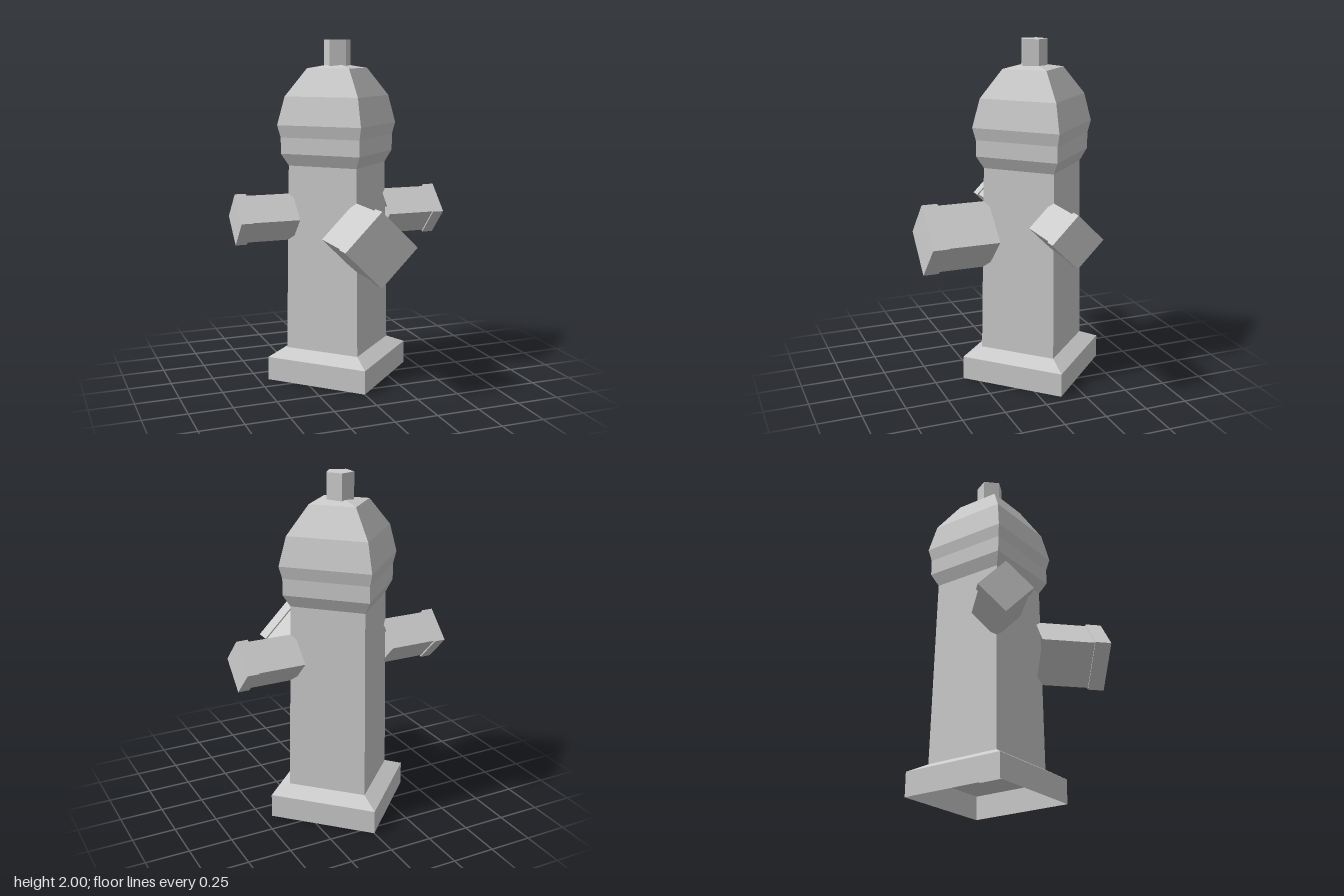
import * as THREE from 'three';

const AXIS_Z = -0.117; // the barrel stands behind the centre, the big outlet reaches forward

const grey = new THREE.MeshStandardMaterial({ color: 0xcccccc, flatShading: true, side: THREE.DoubleSide });
grey.name = 'grey';

// Four-sided turned shape from [radius, height] pairs, corners on the axes
function turned(name, profile) {
  const points = profile.map(([r, y]) => new THREE.Vector2(r, y));
  const mesh = new THREE.Mesh(new THREE.LatheGeometry(points, 4), grey);
  mesh.name = name;
  return mesh;
}

// Square pipe with a wider closed cap; distances run along the pipe from the barrel axis
function outlet(name, pipeR, capR, start, capStart, end) {
  const group = new THREE.Group();
  group.name = name;
  group.add(
    turned(name + 'Pipe', [[pipeR, start], [pipeR, capStart]]),
    turned(name + 'Cap', [[pipeR, capStart], [capR, capStart], [capR, end], [0, end]])
  );
  return group;
}

export function createModel() {
  const model = new THREE.Group();
  model.name = 'fireHydrant';

  const column = new THREE.Group();
  column.name = 'column';
  column.position.z = AXIS_Z;
  model.add(column);

  // Hollow foot, tapering barrel and domed bonnet
  column.add(
    turned('base', [[0.442, 0], [0.442, 0.139], [0.323, 0.187]]),
    turned('barrel', [[0.323, 0.187], [0.302, 1.28]]),
    turned('bonnet', [
      [0.302, 1.28], [0.349, 1.35], [0.349, 1.444], [0.37, 1.515],
      [0.323, 1.678], [0.187, 1.837], [0, 1.866]
    ])
  );

  // Five-sided operating nut
  const nut = new THREE.Mesh(
    new THREE.CylinderGeometry(0.08, 0.08, 0.15, 5, 1, false, Math.PI / 2), grey);
  nut.name = 'topNut';
  nut.position.y = 1.925;
  column.add(nut);

  // Matching side outlets
  for (const [name, side] of [['leftOutlet', 1], ['rightOutlet', -1]]) {
    const pipe = outlet(name, 0.137, 0.149, 0.28, 0.56, 0.627);
    pipe.rotation.z = -side * Math.PI / 2;
    pipe.position.y = 0.979;
    column.add(pipe);
  }

  // Larger front outlet
  const front = outlet('frontOutlet', 0.198, 0.209, 0.278, 0.582, 0.675);
  front.rotation.x = Math.PI / 2;
  front.position.y = 0.887;
  column.add(front);

  return model;
}
